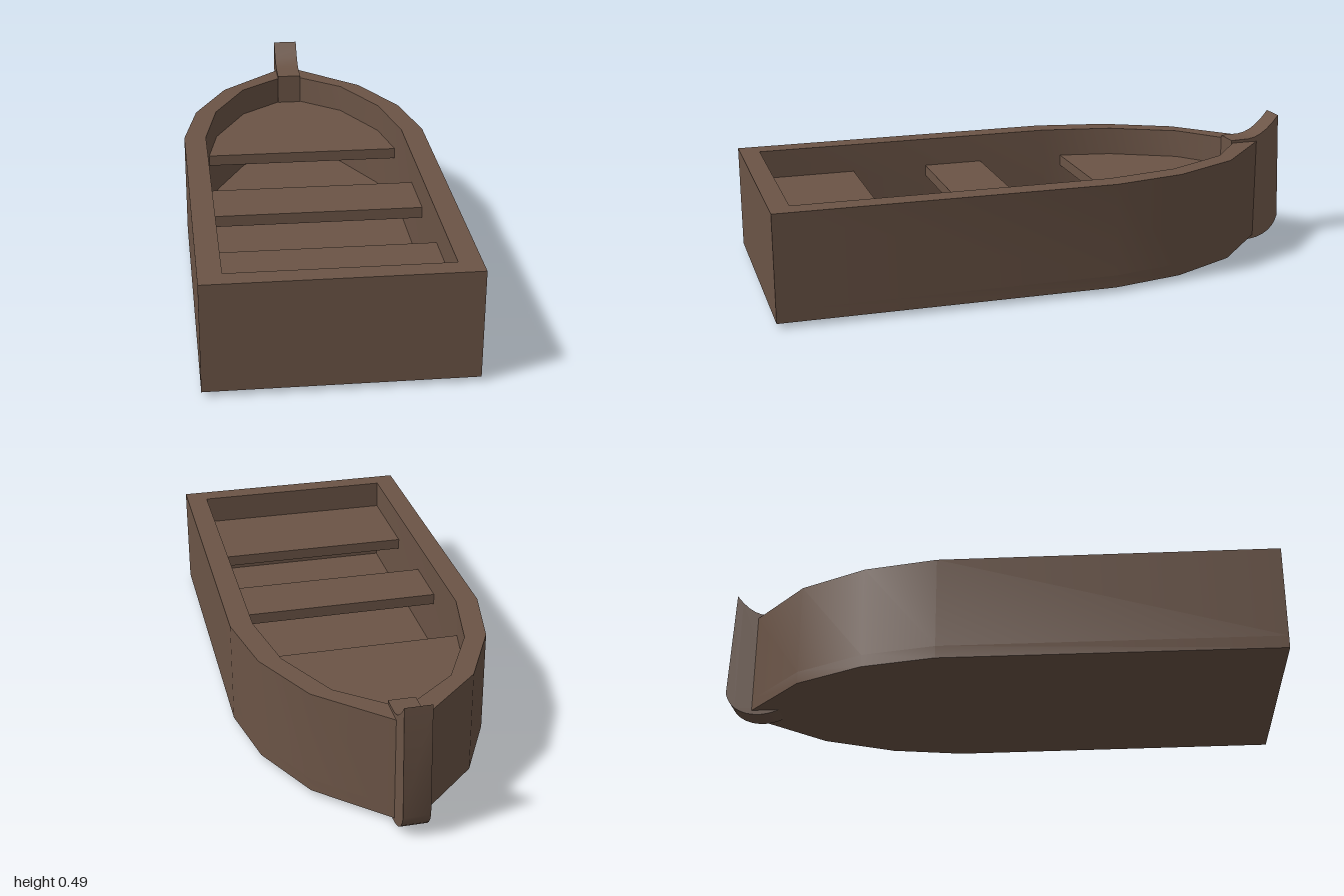
import * as THREE from 'three';
import { toCreasedNormals } from 'three/addons/utils/BufferGeometryUtils.js';

const wood = new THREE.MeshStandardMaterial({ color: 0x6b5446 });

// Right half of each plan outline as [x, z], from stern to bow
const OUTER = [[0.442, 1], [0.45, -0.18], [0.398, -0.44], [0.275, -0.685], [0.045, -0.9]];
const INNER = [[0.365, 0.93], [0.37, -0.18], [0.32, -0.44], [0.2, -0.675], [0.045, -0.8]];
const DECK = [[0.367, -0.245], ...INNER.slice(2)];
const FLOOR_TOP = 0.064, RIM = 0.394, SEAT_TOP = 0.29;

// Mirrored plan outline; shape y is the forward direction (-z)
function planPoints(half) {
  const right = half.map(([x, z]) => new THREE.Vector2(x, -z));
  const left = half.map(([x, z]) => new THREE.Vector2(-x, -z)).reverse();
  return [...right, ...left];
}

// Plan outline raised from one height to another
function slab(name, half, y0, y1, hole) {
  const shape = new THREE.Shape(planPoints(half));
  if (hole) shape.holes.push(new THREE.Path(planPoints(hole)));
  const geo = new THREE.ExtrudeGeometry(shape, { depth: y1 - y0, bevelEnabled: false });
  geo.rotateX(-Math.PI / 2).translate(0, y0, 0);
  const mesh = new THREE.Mesh(toCreasedNormals(geo, 0.5), wood);
  mesh.name = name;
  return mesh;
}

export function createModel() {
  const boat = new THREE.Group();
  boat.name = 'rowingBoat';

  // Hull
  boat.add(slab('hullBottom', OUTER, 0.02, FLOOR_TOP));
  boat.add(slab('hullWalls', OUTER, FLOOR_TOP, RIM, INNER));

  // Bow deck and the two bench seats
  boat.add(slab('bowDeck', DECK, SEAT_TOP - 0.04, SEAT_TOP));
  for (const [name, z0, z1] of [['middleSeat', 0.08, 0.3], ['sternSeat', 0.58, 0.93]]) {
    const seat = new THREE.Mesh(new THREE.BoxGeometry(0.736, 0.04, z1 - z0), wood);
    seat.position.set(0, SEAT_TOP - 0.02, (z0 + z1) / 2);
    seat.name = name;
    boat.add(seat);
  }

  // Stem post: side profile with a flared head and a rounded foot
  const profile = new THREE.Shape();
  profile.moveTo(0.795, 0.022);
  profile.lineTo(0.82, 0.012);
  profile.quadraticCurveTo(0.87, -0.004, 0.92, 0.01);
  profile.quadraticCurveTo(0.985, 0.03, 1, 0.09);
  profile.lineTo(0.985, 0.49);
  profile.quadraticCurveTo(0.925, 0.41, 0.865, 0.406);
  profile.lineTo(0.795, 0.404);
  const stemGeo = new THREE.ExtrudeGeometry(profile, { depth: 0.092, bevelEnabled: false, curveSegments: 5 });
  stemGeo.translate(0, 0, -0.046).rotateY(Math.PI / 2);
  const stem = new THREE.Mesh(toCreasedNormals(stemGeo, 0.5), wood);
  stem.name = 'stemPost';
  boat.add(stem);

  return boat;
}
